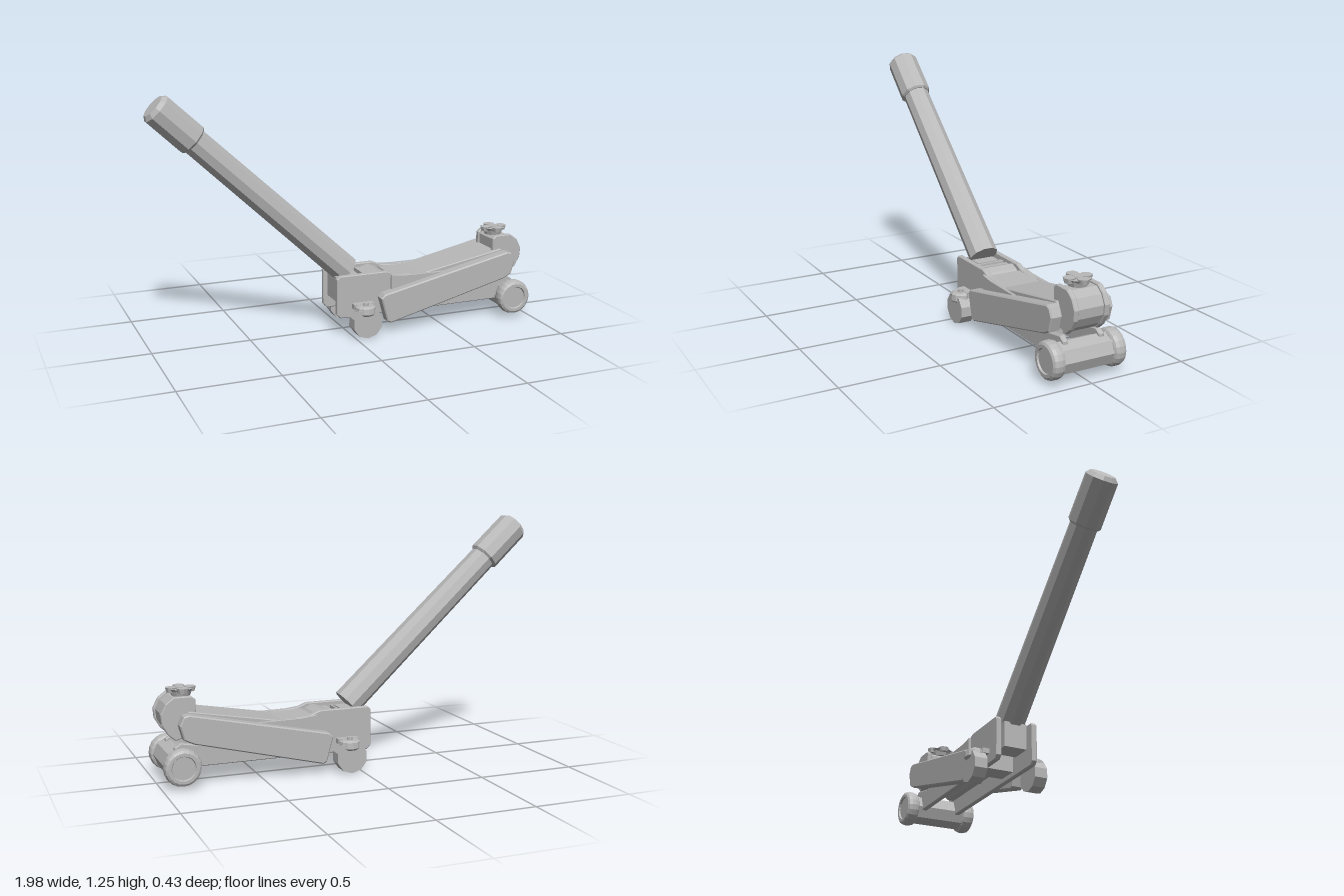
import * as THREE from 'three';

export function createModel() {
  const root = new THREE.Group();
  root.name = 'floorJack';
  const steel = new THREE.MeshStandardMaterial({ color: 0xb8b8b8, flatShading: true });
  steel.name = 'steel grey';

  const add = (name, geometry, x = 0, y = 0, z = 0, parent = root) => {
    const mesh = new THREE.Mesh(geometry, steel);
    mesh.name = name;
    mesh.position.set(x, y, z);
    parent.add(mesh);
    return mesh;
  };

  // Plate with an outline in x, y, reaching from z0 to z1, with small bevelled edges
  const plate = (name, points, z0, z1, bevel = 0.004) => {
    const shape = new THREE.Shape(points.map(([x, y]) => new THREE.Vector2(x, y)));
    const geometry = new THREE.ExtrudeGeometry(shape, {
      depth: z1 - z0 - 2 * bevel, bevelEnabled: bevel > 0, bevelSize: bevel,
      bevelOffset: -bevel, bevelThickness: bevel, bevelSegments: 1,
    });
    return add(name, geometry, 0, 0, z0 + bevel);
  };
  const mirrored = (name, points, z0, z1, bevel) => {
    plate(name + 'Left', points, z0, z1, bevel);
    plate(name + 'Right', points, -z1, -z0, bevel);
  };

  // Turned part around its own y axis
  const lathe = (points, sides) =>
    new THREE.LatheGeometry(points.map(([r, y]) => new THREE.Vector2(r, y)), sides);

  // Long handle with grip, leaning back from the frame
  const handle = new THREE.Group();
  handle.name = 'handle';
  const foot = new THREE.Vector3(0.005, 0.32, 0);
  const tip = new THREE.Vector3(-0.945, 1.203, 0);
  const length = foot.distanceTo(tip);
  handle.position.copy(foot);
  handle.quaternion.setFromUnitVectors(new THREE.Vector3(0, 1, 0), tip.clone().sub(foot).normalize());
  root.add(handle);
  add('handleRod', lathe([[0, -0.01], [0.075, -0.01], [0.068, length - 0.2], [0, length - 0.2]], 10), 0, 0, 0, handle);
  add('handleGrip', lathe([[0, length - 0.255], [0.072, length - 0.255], [0.082, length - 0.245],
    [0.081, length - 0.02], [0.062, length], [0, length]], 10), 0, 0, 0, handle);

  // Inner frame side plates running from the handle to the front axle
  mirrored('framePlate', [[-0.075, 0.11], [-0.055, 0.09], [0.93, 0.09], [0.93, 0.19], [0.9, 0.21],
    [0.78, 0.19], [0.42, 0.275], [0.25, 0.29], [0.2, 0.31], [-0.06, 0.31], [-0.075, 0.295]], 0.082, 0.11);

  // Sloping outer side beams
  mirrored('sideBeam', [[0.147, 0.185], [0.168, 0.205], [0.87, 0.355], [0.895, 0.348], [0.915, 0.305],
    [0.895, 0.235], [0.85, 0.213], [0.2, 0.051], [0.182, 0.06]], 0.105, 0.165, 0.006);

  // Tapered fins on the beams
  mirrored('beamFin', [[0.22, 0.2], [0.22, 0.292], [0.3, 0.283], [0.52, 0.28], [0.5, 0.24]], 0.1, 0.122, 0.002);

  // Lift arm between the plates
  plate('liftArm', [[0.22, 0.25], [0.23, 0.285], [0.4, 0.278], [0.86, 0.36], [0.88, 0.32],
    [0.84, 0.24], [0.45, 0.22]], -0.108, 0.108);

  // Crossbars, handle socket and hydraulic unit
  for (const x of [0.06, 0.11]) add('crossbar', new THREE.BoxGeometry(0.025, 0.03, 0.17), x, 0.275, 0);
  add('handleSocket', new THREE.BoxGeometry(0.12, 0.13, 0.12), 0, 0.23, 0);
  plate('pumpBlock', [[0.12, 0.11], [0.12, 0.29], [0.17, 0.305], [0.21, 0.29], [0.24, 0.26], [0.24, 0.11]], -0.08, 0.08);
  add('hydraulicRam', new THREE.CylinderGeometry(0.05, 0.05, 0.5, 10).rotateZ(Math.PI / 2), 0.46, 0.17, 0);

  // Head that carries the saddle
  const headOutline = [[0.82, 0.3], [0.82, 0.415], [0.84, 0.43], [0.925, 0.43], [0.965, 0.4],
    [0.99, 0.35], [0.985, 0.3], [0.955, 0.25], [0.92, 0.22], [0.86, 0.24]];
  mirrored('headPlate', headOutline, 0.068, 0.094);
  plate('headCore', headOutline.map(([x, y]) => [0.9 + (x - 0.9) * 0.9, 0.32 + (y - 0.32) * 0.92]), -0.07, 0.07);

  // Saddle with four raised lobes
  add('saddleStem', new THREE.CylinderGeometry(0.055, 0.045, 0.03, 10), 0.87, 0.435, 0);
  add('saddleDish', new THREE.CylinderGeometry(0.062, 0.045, 0.02, 12), 0.87, 0.446, 0);
  for (let i = 0; i < 4; i++) {
    const a = i * Math.PI / 2;
    add('saddleLobe', new THREE.CylinderGeometry(0.03, 0.024, 0.024, 8),
      0.87 + 0.045 * Math.cos(a), 0.451, 0.045 * Math.sin(a));
  }
  add('saddleCentre', new THREE.CylinderGeometry(0.025, 0.025, 0.01, 10), 0.87, 0.459, 0);

  // Front axle and wheels with recessed hubs
  add('frontAxle', new THREE.CylinderGeometry(0.078, 0.078, 0.27, 8).rotateX(Math.PI / 2), 0.907, 0.108, 0);
  const wheelProfile = [[0, -0.033], [0.075, -0.033], [0.086, -0.026], [0.091, -0.01], [0.091, 0.01],
    [0.086, 0.026], [0.075, 0.033], [0.06, 0.033], [0.056, 0.025], [0, 0.025]];
  for (const side of [1, -1]) {
    const wheel = add('frontWheel', lathe(wheelProfile, 20), 0.907, 0.109, side * 0.162);
    wheel.rotation.x = side * Math.PI / 2;
  }

  // Rear casters with swivel plate, fork and ten-sided wheel
  for (const side of [1, -1]) {
    const caster = new THREE.Group();
    caster.name = 'rearCaster';
    caster.position.set(0.06, 0, side * 0.162);
    root.add(caster);
    add('casterWheel', new THREE.CylinderGeometry(0.08, 0.08, 0.068, 10).rotateX(Math.PI / 2), 0, 0.078, 0, caster);
    add('swivelPlate', lathe([[0, 0.115], [0.045, 0.115], [0.055, 0.125], [0.052, 0.155], [0.04, 0.163], [0, 0.163]], 12),
      0, 0, -side * 0.004, caster);
    add('casterMount', new THREE.BoxGeometry(0.11, 0.025, 0.06), 0, 0.152, -side * 0.045, caster);
    add('casterPin', new THREE.CylinderGeometry(0.016, 0.016, 0.03, 8), 0, 0.162, 0, caster);
  }

  return root;
}
